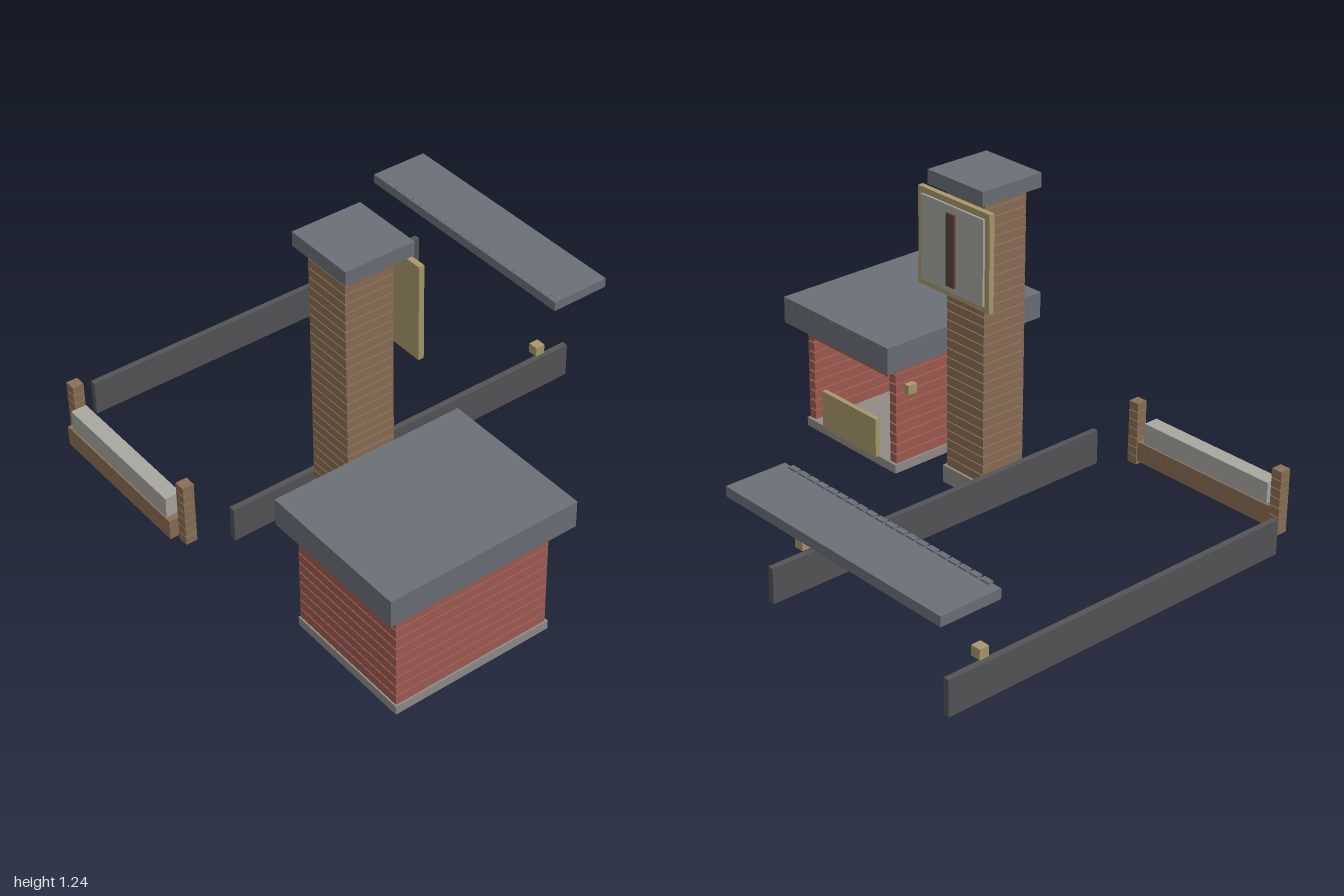
import * as THREE from 'three';

const mat = (color) => new THREE.MeshStandardMaterial({ color });
const SLATE = mat(0x6b7077), RED = mat(0xa05c52), BROWN = mat(0x8a6f55), TAN = mat(0xa8986a);
const PALE = mat(0xa8a8a0), STONE = mat(0x8f8c88), DARK = mat(0x545456), STRIP = mat(0x5a4438);

// Box given by its lower and upper limits on each axis
function box(parent, name, material, [x0, x1], [y0, y1], [z0, z1]) {
  const mesh = new THREE.Mesh(new THREE.BoxGeometry(x1 - x0, y1 - y0, z1 - z0), material);
  mesh.position.set((x0 + x1) / 2, (y0 + y1) / 2, (z0 + z1) / 2);
  mesh.name = name;
  parent.add(mesh);
  return mesh;
}

// Stack of equal courses with a narrow open joint between them
function courses(parent, name, material, x, [y0, y1], z, count, joint = 0.005) {
  const pitch = (y1 - y0 + joint) / count;
  for (let i = 0; i < count; i++) {
    const y = y0 + i * pitch;
    box(parent, name, material, x, [y, y + pitch - joint], z);
  }
}

function part(parent, name) {
  const g = new THREE.Group();
  g.name = name;
  parent.add(g);
  return g;
}

export function createModel() {
  const model = new THREE.Group();
  model.name = 'yardStructures';

  // Hut with three coursed walls and an open back
  const hut = part(model, 'hut');
  box(hut, 'hutBase', STONE, [0.435, 0.96], [0, 0.035], [0.13, 0.77]);
  const wallY = [0.037, 0.443];
  courses(hut, 'frontWall', RED, [0.44, 0.955], wallY, [0.73, 0.765], 10);
  courses(hut, 'rightWall', RED, [0.44, 0.475], wallY, [0.14, 0.73], 10);
  courses(hut, 'leftWall', RED, [0.92, 0.955], wallY, [0.14, 0.73], 10);
  box(hut, 'doorHeader', RED, [0.475, 0.92], [0.385, 0.445], [0.133, 0.165]);
  box(hut, 'halfDoor', TAN, [0.53, 0.845], [0.037, 0.195], [0.115, 0.135]);
  box(hut, 'wallLamp', TAN, [0.415, 0.44], [0.317, 0.355], [0.18, 0.22]);
  box(hut, 'hutRoof', SLATE, [0.395, 1], [0.445, 0.55], [0.065, 0.82]);

  // Coursed pillar with footing and cap
  const pillar = part(model, 'pillar');
  box(pillar, 'pillarFooting', STONE, [0.06, 0.275], [0, 0.07], [0.225, 0.44]);
  courses(pillar, 'pillarCourse', BROWN, [0.068, 0.265], [0.07, 1.178], [0.235, 0.43], 30, 0.004);
  box(pillar, 'pillarCap', SLATE, [0.025, 0.31], [1.18, 1.235], [0.185, 0.46]);

  // Board on the back of the pillar
  const board = part(model, 'signBoard');
  box(board, 'boardFrame', TAN, [-0.018, 0.355], [0.793, 1.165], [0.18, 0.202]);
  box(board, 'boardFace', PALE, [0.005, 0.332], [0.816, 1.142], [0.171, 0.18]);
  box(board, 'boardStrip', STRIP, [0.147, 0.19], [0.84, 1.115], [0.162, 0.171]);

  // Raised slab with a row of studs near its front edge
  const canopy = part(model, 'canopy');
  box(canopy, 'canopySlab', SLATE, [-1, 0.07], [0.435, 0.473], [-0.9, -0.655]);
  for (let i = 0; i < 20; i++) {
    const x = -0.96 + i * 0.05;
    box(canopy, 'canopyStud', SLATE, [x, x + 0.04], [0.473, 0.479], [-0.671, -0.65]);
  }

  // Long side rails and the small blocks above their back ends
  for (const x of [-0.911, -0.023]) {
    box(model, 'sideRail', DARK, [x - 0.012, x + 0.012], [0.028, 0.165], [-0.8, 0.715]);
    box(model, 'railBlock', TAN, [x - 0.02, x + 0.02], [0.19, 0.229], [-0.679, -0.64]);
  }

  // Planter between two coursed posts
  const planter = part(model, 'planter');
  for (const x of [-0.818, -0.118]) {
    courses(planter, 'planterPost', BROWN, [x - 0.022, x + 0.022], [0.028, 0.28], [0.815, 0.86], 7, 0.003);
  }
  box(planter, 'planterBeam', BROWN, [-0.796, -0.14], [0.043, 0.123], [0.82, 0.896]);
  box(planter, 'planterTop', PALE, [-0.77, -0.165], [0.123, 0.205], [0.828, 0.89]);

  return model;
}
